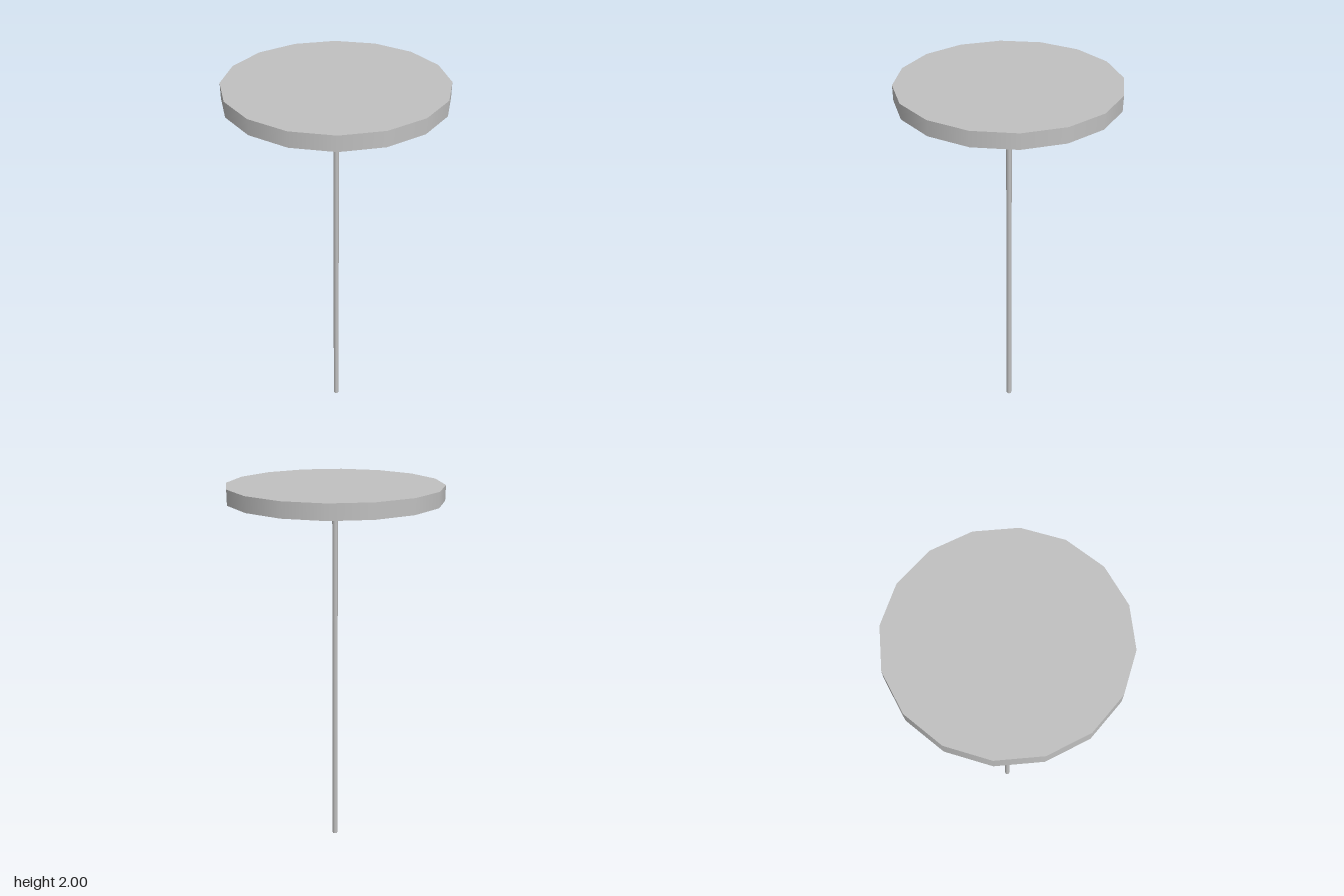
import * as THREE from 'three';

export function createModel() {
  const model = new THREE.Group();
  const grey = new THREE.MeshStandardMaterial({ color: 0xc0c0c0 });
  grey.name = 'grey';

  const sides = 16, radius = 0.537, poleRadius = 0.014;
  const rimY = 1.925, apexY = 1.89, topY = 2;

  function add(name, geometry, y) {
    const mesh = new THREE.Mesh(geometry, grey);
    mesh.name = name;
    mesh.position.y = y;
    model.add(mesh);
  }

  // Upright pole, closed at the foot
  add('pole', new THREE.CylinderGeometry(poleRadius, poleRadius, apexY, 8), apexY / 2);

  // Rim wall of the disc
  add('rim', new THREE.CylinderGeometry(radius, radius, topY - rimY, sides, 1, true), (topY + rimY) / 2);

  // Flat top, turned to face up
  add('top', new THREE.CircleGeometry(radius, sides).rotateX(-Math.PI / 2), topY);

  // Shallow cone closing the underside down to the pole
  add('underside', new THREE.CylinderGeometry(radius, poleRadius, rimY - apexY, sides, 1, true), (rimY + apexY) / 2);

  return model;
}
